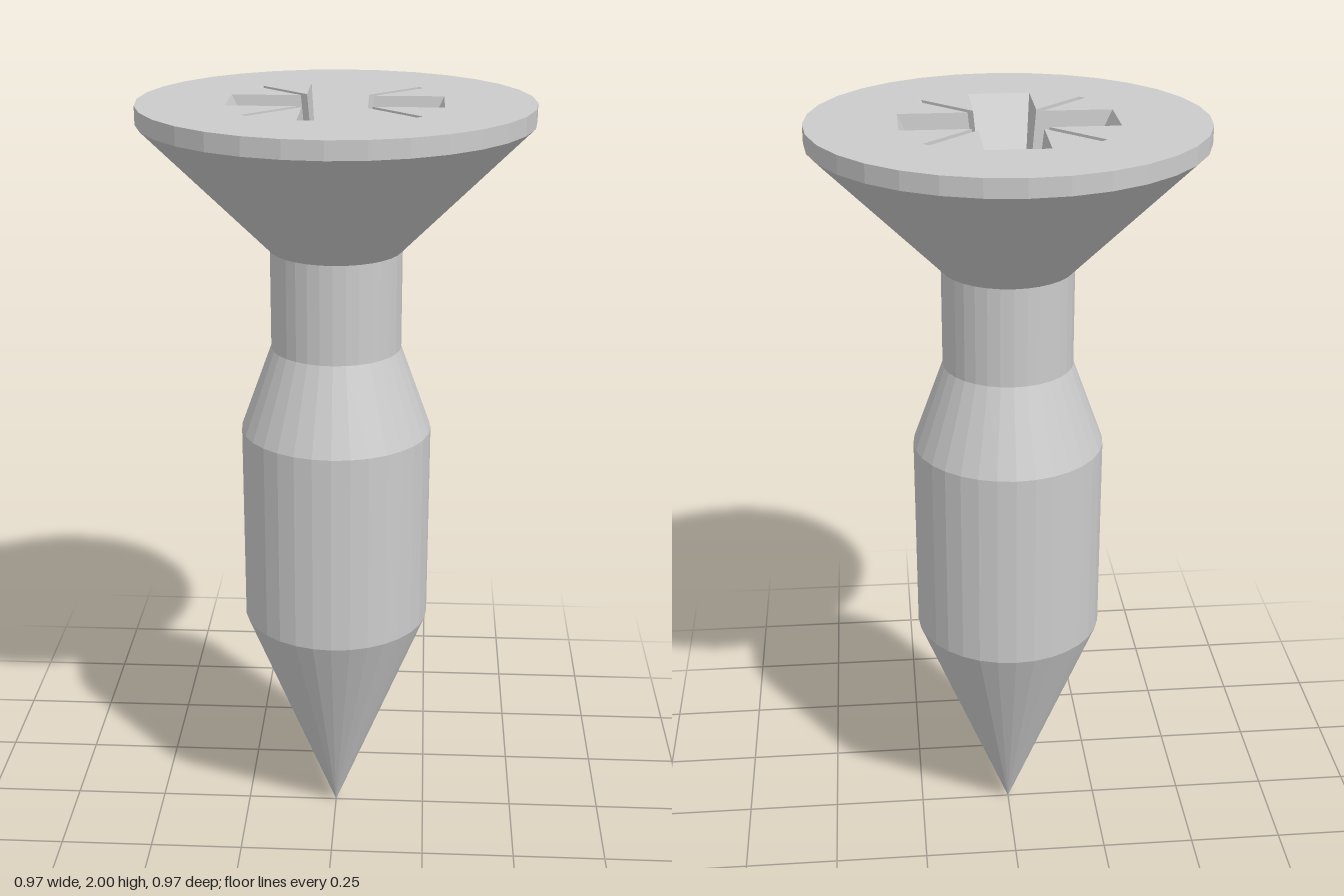
import * as THREE from 'three';

const SIDES = 32;
const TOP = 2;

// Recess sizes: arm reach and half width at the top and the bottom
const L = 0.262, C = 0.077, l = 0.127, B = 0.05, DEPTH = 0.28;
// Diagonal slits: end at the top, end at the floor, half offset, depth
const E = 0.204, F = 0.168, H = 0.007, S = 2 * H, SLIT = 0.1;
const K = C - (C - B) * SLIT / DEPTH; // cross corner at slit depth
const PIT = 0.09;

const quarterTurn = ([x, z, d], n) => {
  for (let i = 0; i < n; i++) [x, z] = [-z, x];
  return [x, z, d];
};

// Flat polygons given as [x, z, depth] corners, repeated for four quarters
function quarteredGeometry(polygons) {
  const pos = [];
  const push = ([x, z, d]) => pos.push(x, TOP - d, z);
  for (let n = 0; n < 4; n++) {
    for (const poly of polygons) {
      const p = poly.map(v => quarterTurn(v, n));
      for (let i = 1; i < p.length - 1; i++) [p[0], p[i], p[i + 1]].forEach(push);
    }
  }
  const g = new THREE.BufferGeometry();
  g.setAttribute('position', new THREE.Float32BufferAttribute(pos, 3));
  g.computeVertexNormals();
  return g;
}

function crossRecess() {
  const side = [[l, B, DEPTH], [B, B, DEPTH], [K, K, SLIT], [K + S, K, SLIT], [C + S, C, 0], [L, C, 0]];
  const otherSide = side.map(([x, z, d]) => [x, -z, d]).reverse();
  const end = [[L, C, 0], [L, -C, 0], [l, -B, DEPTH], [l, B, DEPTH]];
  // Arm floor stops at the round pit
  const floor = [[l, B, DEPTH], [l, -B, DEPTH]];
  const a = Math.asin(B / PIT);
  for (let i = 0; i <= 6; i++) {
    const t = a * (i / 3 - 1);
    floor.push([PIT * Math.cos(t), PIT * Math.sin(t), DEPTH]);
  }
  return quarteredGeometry([side, otherSide, end, floor]);
}

function diagonalSlits() {
  const swap = ([x, z, d]) => [z, x, d];
  const mouth = [C + S, C, 0], tip = [E + H, E - H, 0];
  const low = [F + H, F - H, SLIT], inner = [K + S, K, SLIT];
  const wall = [mouth, tip, low, inner];
  return quarteredGeometry([
    [...wall].reverse(),
    wall.map(swap),
    [low, swap(low), swap(tip), tip],
    [[K, K, SLIT], swap(inner), swap(low), low, inner],
  ]);
}

// Flat head face with the cross and slit outline cut out
function headFace(radius) {
  const ring = [];
  for (let i = 0; i < SIDES; i++) {
    const t = i / SIDES * Math.PI * 2;
    ring.push(new THREE.Vector2(radius * Math.cos(t), radius * Math.sin(t)));
  }
  const quarter = [[L, -C], [L, C], [C + S, C], [E + H, E - H], [E - H, E + H], [C, C + S]];
  const outline = [];
  for (let n = 0; n < 4; n++) {
    for (const [x, y] of quarter) {
      const [u, v] = quarterTurn([x, y, 0], n);
      outline.push(new THREE.Vector2(u, v));
    }
  }
  const shape = new THREE.Shape(ring);
  shape.holes.push(new THREE.Path(outline));
  return new THREE.ShapeGeometry(shape).rotateX(-Math.PI / 2).translate(0, TOP, 0);
}

export function createModel() {
  const group = new THREE.Group();
  group.name = 'screw';
  const metal = new THREE.MeshStandardMaterial({ color: 0xcccccc, flatShading: true });
  const add = (name, geometry) => {
    const mesh = new THREE.Mesh(geometry, metal);
    mesh.name = name;
    group.add(mesh);
  };
  const lathe = points => new THREE.LatheGeometry(points.map(p => new THREE.Vector2(...p)), SIDES);

  // Turned body, from the tip upwards
  add('tip', lathe([[0, 0], [0.247, 0.625]]));
  add('shank', lathe([[0.247, 0.625], [0.247, 1.16], [0.167, 1.38]]));
  add('neck', lathe([[0.167, 1.38], [0.167, 1.635]]));
  add('head', lathe([[0.167, 1.635], [0.487, 1.955], [0.487, TOP]]));
  add('headFace', headFace(0.487));

  // Driver recess
  add('crossRecess', crossRecess());
  add('diagonalSlits', diagonalSlits());
  add('recessPit', lathe([[PIT, TOP - DEPTH], [0, TOP - DEPTH - 0.05]]));
  return group;
}
